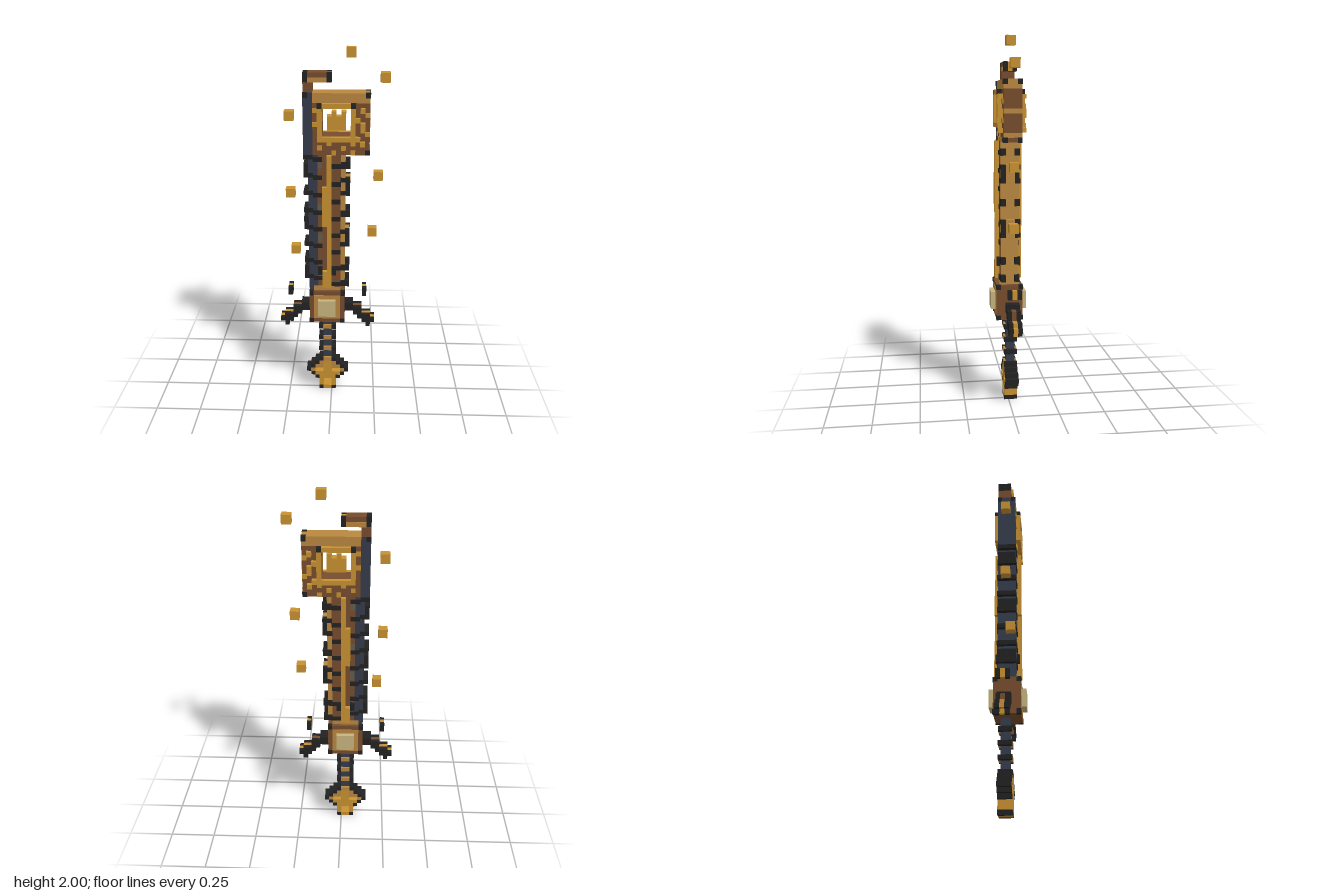
import * as THREE from 'three';

const U = 2 / 82; // one voxel
const mat = (name, color) => {
  const m = new THREE.MeshStandardMaterial({ color });
  m.name = name;
  return m;
};

export function createModel() {
  const root = new THREE.Group();
  root.name = 'voxelSword';
  const black = mat('black', 0x222222), tan = mat('tan', 0xb98840), gold = mat('gold', 0xc99232);
  const brown = mat('brown', 0x774d2e), navy = mat('navy', 0x363c4c), pale = mat('pale', 0xc8b47f);
  const grey = mat('grey', 0x665c4c);

  // Box given by its limits in voxels
  const box = (parent, name, m, x0, x1, y0, y1, z0, z1) => {
    const g = new THREE.BoxGeometry((x1 - x0) * U, (y1 - y0) * U, (z1 - z0) * U);
    const mesh = new THREE.Mesh(g, m);
    mesh.position.set((x0 + x1) / 2 * U, (y0 + y1) / 2 * U, (z0 + z1) / 2 * U);
    mesh.name = name;
    parent.add(mesh);
  };
  // Same box on the front and on the back
  const both = (p, name, m, x0, x1, y0, y1, z0, z1) => {
    box(p, name, m, x0, x1, y0, y1, z0, z1);
    box(p, name, m, x0, x1, y0, y1, -z1, -z0);
  };
  // Same box mirrored about the sword's axis at x = -1
  const pair = (p, name, m, x0, x1, y0, y1, z0, z1) => {
    box(p, name, m, x0, x1, y0, y1, z0, z1);
    box(p, name, m, -2 - x1, -2 - x0, y0, y1, z0, z1);
  };
  const group = (name) => {
    const g = new THREE.Group();
    g.name = name;
    root.add(g);
    return g;
  };

  // Pommel: diamond ring with a loop below
  const pommel = group('pommel');
  box(pommel, 'pommelCore', gold, -2, 0, 3, 8, -2, 1);
  pair(pommel, 'pommelUpper', tan, 0, 1, 6, 8, -2, 1);
  pair(pommel, 'pommelUpperEdge', black, 1, 2, 7, 8, -2, 1);
  pair(pommel, 'pommelUpperArm', tan, 1, 2, 6, 7, -2, 1);
  pair(pommel, 'pommelShoulder', black, 2, 3, 6, 7, -2, 1);
  pair(pommel, 'pommelSide', tan, 2, 3, 5, 6, -2, 1);
  pair(pommel, 'pommelTip', black, 3, 4, 5, 6, -2, 1);
  pair(pommel, 'pommelLowerShoulder', black, 2, 3, 4, 5, -2, 1);
  pair(pommel, 'pommelLowerArm', gold, 0, 2, 4, 5, -2, 1);
  pair(pommel, 'pommelLower', gold, 0, 1, 3, 4, -2, 1);
  pair(pommel, 'pommelLowerEdge', black, 1, 2, 3, 4, -2, 1);
  pair(pommel, 'loopSide', gold, 0, 1, 1, 3, -2, 1);
  box(pommel, 'loopBottom', gold, -2, 0, 0, 1, -2, 1);
  pair(pommel, 'loopCorner', black, 0, 1, 0, 1, -2, 1);

  // Grip with rings
  const grip = group('grip');
  box(grip, 'gripCore', navy, -2, 0, 8, 20, -1.5, 0.5);
  for (const y of [8, 11, 14, 17]) {
    box(grip, 'ring', tan, -2, 0, y, y + 1, -2, 1);
    pair(grip, 'ringEnd', black, 0, 1, y, y + 1, -2, 1);
  }

  // Guard block with pale studs
  const guard = group('guard');
  box(guard, 'guardBlock', brown, -5, 3, 20, 28, -2.9, 2.9);
  both(guard, 'guardPanel', tan, -4, 2, 21, 27, 2.9, 3);
  both(guard, 'stud', pale, -3, 1, 22, 26, 3, 4);
  for (const y of [20, 27]) for (const z of [-3, 2])
    pair(guard, 'guardCorner', black, 2.05, 3.05, y - 0.02, y + 1.02, z, z + 1);

  // Stepped arms and loose chips: black outside, bright middle layer
  const layered = (name, m, x0, x1, y0, y1) => {
    pair(guard, name + 'Front', black, x0, x1, y0, y1, 0, 1);
    pair(guard, name + 'Middle', m, x0, x1, y0, y1, -1, 0);
    pair(guard, name + 'Back', black, x0, x1, y0, y1, -2, -1);
  };
  layered('armRoot', black, 3, 5, 22, 24);
  layered('armStep', brown, 5, 7, 21, 23);
  layered('armElbow', tan, 6, 8, 20, 21);
  layered('armLower', gold, 7, 9, 19, 20);
  layered('armTip', gold, 8, 9, 18, 19);
  layered('armClaw', gold, 9, 10, 19, 20);
  layered('armKnuckle', gold, 8, 9, 20, 21);
  layered('chip', gold, 7, 8, 26, 28);

  // Blade: dark spine, brown body, bright edge
  const blade = group('blade');
  box(blade, 'spine', navy, -5, -3, 28, 60, -2, 2);
  box(blade, 'body', brown, -3, 2, 28, 60, -2, 2);
  box(blade, 'edge', tan, 2, 3, 29, 60, -2, 2);
  // Raised zigzag inlay
  for (const [x0, x1, y0, y1] of [[-1, 0, 48, 60], [-2, -1, 44, 53], [-1, 0, 33, 48], [-2, 0, 29, 33]])
    both(blade, 'inlay', gold, x0, x1, y0, y1, 2, 3);
  for (const y of [57, 47, 40]) both(blade, 'patch', grey, -3, -2, y, y + 2, 2, 2.1);
  // Ribs across the spine stepping down toward the middle
  for (let y = 31; y < 60; y += 4) {
    box(blade, 'ribCap', black, -6, -4, y, y + 1, -2.1, 2.1);
    both(blade, 'ribStep', black, -4, -2, y - 0.5, y + 0.5, 2, 2.2);
    both(blade, 'ribCross', black, 0, 2, y - 2, y - 1, 2, 2.2);
  }
  for (const y of [32, 44, 56]) box(blade, 'ribPost', black, -6, -5, y, y + 2, -2, 2);
  // Clamps on the bright edge
  for (const y of [51, 39]) {
    for (const dy of [0, 3]) both(blade, 'clampJaw', black, 1.9, 4, y + dy, y + dy + 1, 1, 2.2);
    both(blade, 'clampPost', black, 3, 4, y + 1, y + 3, 1, 2);
    box(blade, 'clampFill', tan, 3, 4, y, y + 4, -1, 1);
  }
  for (const y of [57, 46, 33, 29]) both(blade, 'edgeNotch', black, 2, 4, y, y + 1.5, 1, 2.1);
  for (const x of [-3, 0]) both(blade, 'inlayKnot', black, x, x + 1, 32, 34, 2, 2.6);
  box(blade, 'collar', tan, -4, 2, 28, 29, -2.2, 2.2);

  // Head: square frame around an opening
  const head = group('head');
  box(head, 'headSpine', navy, -6, -4, 60, 73, -2, 2);
  box(head, 'headTop', tan, -4, 8, 71, 73, -2, 2);
  box(head, 'headLintel', brown, -4, 8, 70, 71, -2, 2);
  box(head, 'headLeft', brown, -4, -2, 64, 70, -2, 2);
  box(head, 'headRight', brown, 4, 8, 64, 70, -2, 2);
  box(head, 'headBottom', brown, -4, 8, 60, 64, -2, 2);
  for (const y of [61, 66]) box(head, 'sideBand', tan, 7.9, 8.05, y, y + 1, -2, 2);
  for (const z of [-2.05, 1.05]) {
    box(head, 'headCorner', black, -6.05, -5, 72, 73.05, z, z + 1);
    for (const y of [60, 72]) box(head, 'headCorner', black, 7.05, 8.08, y - 0.05, y + 1.05, z, z + 1);
  }
  // Raised rim around the opening
  both(head, 'rimTop', gold, -2, 4, 70, 71, 2, 3);
  both(head, 'rimBottom', gold, -3, 5, 63, 64, 2, 3);
  both(head, 'rimLeft', gold, -3, -2, 64, 70, 2, 3);
  both(head, 'rimRight', gold, 4, 5, 64, 70, 2, 3);
  for (const x of [-3, 4]) both(head, 'rimCorner', black, x, x + 1, 70, 71, 2, 3);
  // Gold flecks on the frame
  for (const [x, y] of [[6, 69], [5, 67], [6, 65], [6, 66], [5, 63], [6, 62]])
    both(head, 'raisedFleck', gold, x, x + 1, y, y + 1, 2, 3);
  for (const [x, y] of [[-3, 61], [-1, 62], [0, 60], [2, 61], [4, 62], [4, 60], [7, 64], [7, 68], [-4, 66], [-4, 69]])
    both(head, 'fleck', gold, x, x + 1, y, y + 1, 2, 2.2);
  // Relic floating in the opening
  box(head, 'relic', gold, -1, 3, 65, 67, -1, 1);
  box(head, 'relicTop', gold, -1, 2, 67, 68, -1, 1);
  for (const x of [0, 2]) box(head, 'relicPoint', gold, x, x + 1, x ? 67 : 68, 69, -1, 1);

  // Hook on top of the spine
  const hook = group('hook');
  box(hook, 'hookNeck', brown, -6, -4, 73, 75, -2, 1);
  box(hook, 'hookBar', brown, -5, -1, 75, 77, -2, 1);
  box(hook, 'hookHeel', black, -6, -5, 75, 77, -2, 1);
  box(hook, 'hookNose', gold, -1, 0, 75, 77, -1, 0);
  for (const z of [-2, 0]) box(hook, 'hookCorner', black, -1, 0, 75, 77, z, z + 1);
  box(hook, 'hookTrim', tan, -5, -1, 75, 76, -2.1, 1.1);

  // Floating cubes
  const cubes = group('floatingCubes');
  for (const [x, y, z] of [[3, 80, -1], [10, 75, -1], [-10, 67, -1], [9, 54, -1], [-10, 50, -1], [8, 41, -1], [-9, 37, 0]])
    box(cubes, 'floatingCube', gold, x, x + 2, y, y + 2, z, z + 2);

  return root;
}
